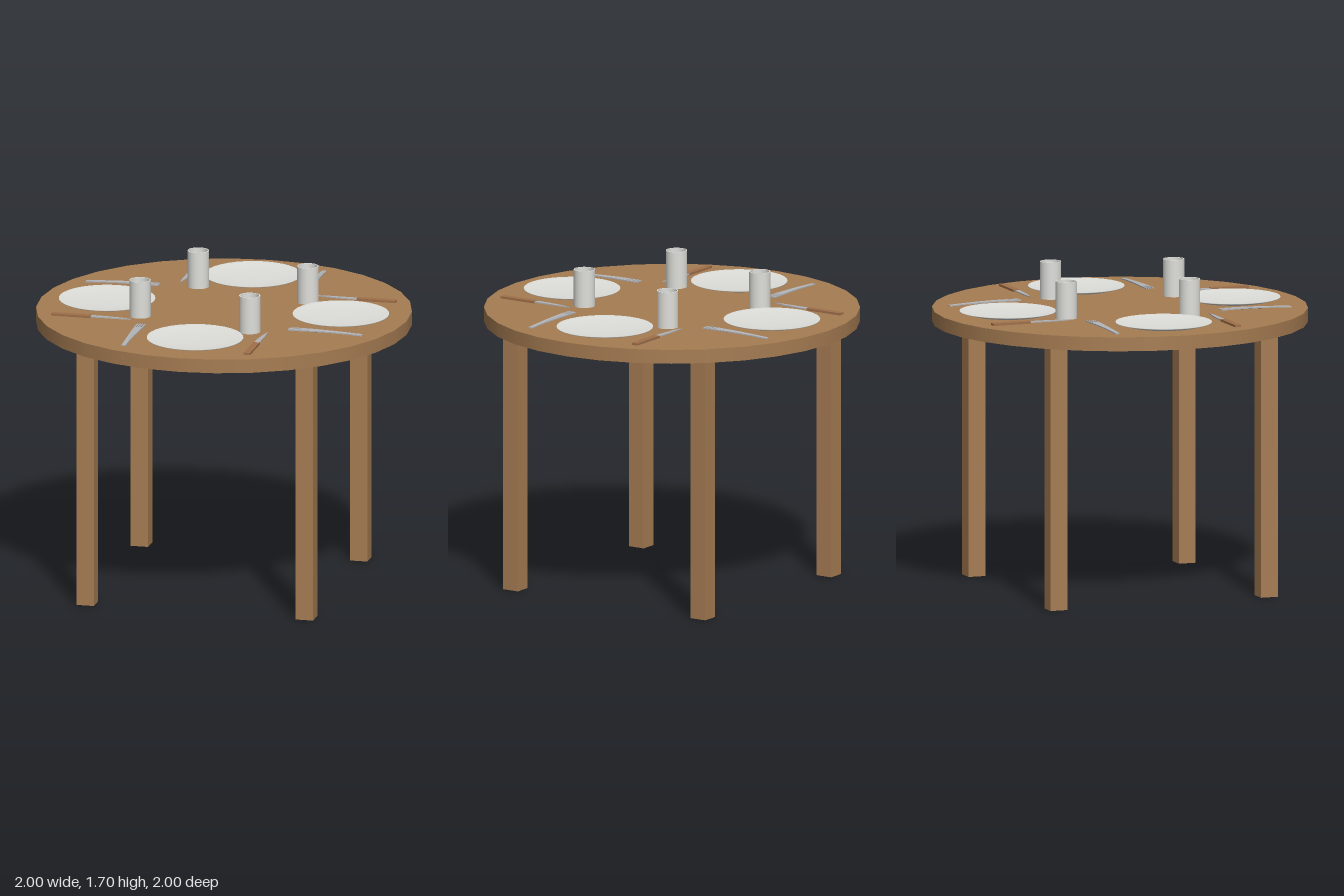
import * as THREE from 'three';

const mat = (name, color, side = THREE.FrontSide) => {
  const m = new THREE.MeshStandardMaterial({ color, side });
  m.name = name;
  return m;
};

export function createModel() {
  const wood = mat('wood', 0xa67c52);
  const handleWood = mat('handleWood', 0xa0704a);
  const china = mat('china', 0xdededa, THREE.DoubleSide);
  const steel = mat('steel', 0xb2b4b8);

  const table = new THREE.Group();
  table.name = 'diningTable';
  const topY = 1.5;

  const add = (parent, name, geometry, material, x = 0, y = 0, z = 0) => {
    const mesh = new THREE.Mesh(geometry, material);
    mesh.name = name;
    mesh.position.set(x, y, z);
    parent.add(mesh);
    return mesh;
  };

  // Flat piece from an outline of [x, z] points, lying on y = 0
  const slab = (points, thickness) => {
    const shape = new THREE.Shape(points.map(([x, z]) => new THREE.Vector2(x, -z)));
    const g = new THREE.ExtrudeGeometry(shape, { depth: thickness, bevelEnabled: false });
    return g.rotateX(-Math.PI / 2);
  };

  // Round top and four square legs
  add(table, 'tabletop', new THREE.CylinderGeometry(1, 1, 0.075, 32), wood, 0, topY - 0.0375, 0);
  const legGeo = new THREE.BoxGeometry(0.095, 1.427, 0.095);
  for (const x of [-0.6, 0.6]) {
    for (const z of [-0.6, 0.6]) add(table, 'leg', legGeo, wood, x, 0.7135, z);
  }

  // Shallow dished plate, profile runs from underside to centre of the top
  const v = (x, y) => new THREE.Vector2(x, y);
  const plateGeo = new THREE.LatheGeometry([
    v(0, 0.001), v(0.2, 0.001), v(0.257, 0.016), v(0.257, 0.02),
    v(0.23, 0.0155), v(0.17, 0.0105), v(0.09, 0.0075), v(0, 0.0065),
  ], 32);

  // Hollow cup with a thin wall and a floor
  const cupGeo = new THREE.LatheGeometry([
    v(0, 0.001), v(0.057, 0.001), v(0.057, 0.001), v(0.057, 0.2), v(0.057, 0.2),
    v(0.051, 0.2), v(0.051, 0.2), v(0.051, 0.01), v(0.051, 0.01), v(0, 0.01),
  ], 24);

  // Fork: tapered body with four tines, gently arched along its length
  const half = [[0.012, 0.2], [0.0125, 0.12], [0.016, 0.03], [0.02, -0.06], [0.0235, -0.13]];
  const arch = (g, z0 = 0) => {
    const p = g.attributes.position;
    for (let i = 0; i < p.count; i++) {
      const t = (p.getZ(i) + z0 + 0.1) / 0.3;
      p.setY(i, p.getY(i) + 0.009 * Math.max(0, 1 - t * t));
    }
    g.computeVertexNormals();
    return g;
  };
  const forkGeo = arch(slab([
    ...half.map(([x, z]) => [-x, z]),
    ...half.slice().reverse().map(([x, z]) => [x, z]),
  ], 0.006));
  const tineGeo = arch(new THREE.BoxGeometry(0.0075, 0.006, 0.07).translate(0, 0.003, 0), -0.165);

  // Knife: curved blade and a plain straight handle
  const bladeGeo = slab([
    [0.012, 0.005], [0.012, -0.14], [0.008, -0.22], [0.003, -0.2],
    [-0.006, -0.15], [-0.013, -0.08], [-0.016, 0.005],
  ].reverse(), 0.006);
  const handleGeo = new THREE.BoxGeometry(0.035, 0.012, 0.215);

  // One place setting for each side of the table
  for (let i = 0; i < 4; i++) {
    const setting = new THREE.Group();
    setting.name = 'placeSetting';
    setting.position.y = topY;
    setting.rotation.y = i * Math.PI / 2;
    table.add(setting);

    add(setting, 'plate', plateGeo, china, 0, 0, 0.64);
    add(setting, 'cup', cupGeo, china, 0.24, 0, 0.4);

    const fork = new THREE.Group();
    fork.name = 'fork';
    fork.position.set(-0.342, 0.002, 0.64);
    setting.add(fork);
    add(fork, 'forkBody', forkGeo, steel);
    for (let k = 0; k < 4; k++) {
      add(fork, 'tine', tineGeo, steel, (k - 1.5) * 0.0132, 0, -0.165);
    }

    const knife = new THREE.Group();
    knife.name = 'knife';
    knife.position.set(0.338, 0.002, 0.645);
    setting.add(knife);
    add(knife, 'blade', bladeGeo, steel, 0, 0.004, 0);
    add(knife, 'knifeHandle', handleGeo, handleWood, 0, 0.007, 0.1075);
  }
  return table;
}
